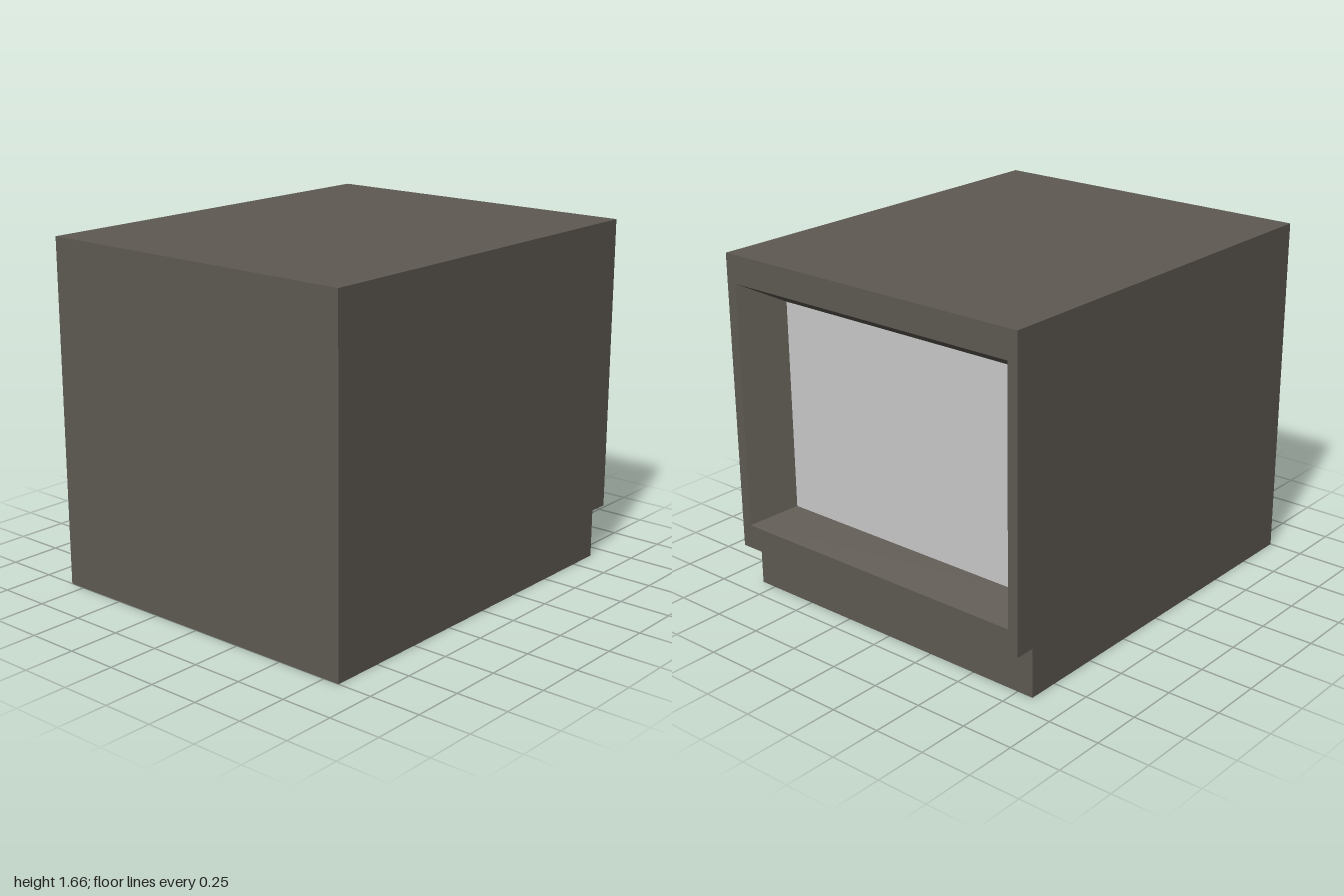
import * as THREE from 'three';

const casing = new THREE.MeshStandardMaterial({ color: 0x5e5952 });
casing.name = 'warm dark grey';
const glass = new THREE.MeshStandardMaterial({ color: 0xc8c8c8 });
glass.name = 'light grey';

// Rectangle corners, counter-clockwise seen from +z
const ring = ([w, y0, y1, z]) => [[-w, y0, z], [w, y0, z], [w, y1, z], [-w, y1, z]];

// Flat-shaded mesh from four-cornered faces
function quadMesh(name, quads, material) {
  const points = [];
  for (const [a, b, c, d] of quads) points.push(...a, ...b, ...c, ...a, ...c, ...d);
  const geometry = new THREE.BufferGeometry();
  geometry.setAttribute('position', new THREE.Float32BufferAttribute(points, 3));
  geometry.computeVertexNormals();
  const mesh = new THREE.Mesh(geometry, material);
  mesh.name = name;
  return mesh;
}

// Walls joining successive rectangles, leaving out zero-area faces
function walls(rings) {
  const quads = [];
  for (let i = 0; i < rings.length - 1; i++) {
    const [a, b] = [rings[i], rings[i + 1]];
    for (let j = 0; j < 4; j++) {
      const k = (j + 1) % 4;
      const same = (p, q) => p.every((v, n) => v === q[n]);
      // On the step only the bottom edge moves
      if (same(a[j], b[j]) || same(a[k], b[k])) continue;
      if (a[j][2] === b[j][2] && a[j][0] === b[j][0] && a[j][0] === a[k][0]) continue;
      quads.push([a[k], a[j], b[j], b[k]]);
    }
  }
  return quads;
}

export function createModel() {
  const group = new THREE.Group();
  group.name = 'boxMonitor';

  // Half width, bottom, top and z of each cross-section, front to back
  const body = [
    [0.83, 0, 1.66, 1],
    [0.83, 0, 1.66, -0.9],
    [0.83, 0.235, 1.66, -0.9],
    [0.83, 0.235, 1.66, -1],
  ].map(ring);
  const opening = ring([0.78, 0.352, 1.527, -1]);
  const inner = ring([0.643, 0.43, 1.43, -0.828]);

  // Casing with a stepped foot, closed on the front
  group.add(quadMesh('casing', [body[0], ...walls(body)], casing));
  // Flat rim around the opening
  group.add(quadMesh('rim', walls([body[3], opening]), casing));
  // Tapered walls of the recess
  group.add(quadMesh('recessWalls', walls([opening, inner]), casing));
  // Screen at the bottom of the recess
  group.add(quadMesh('screen', [[...inner].reverse()], glass));

  return group;
}
